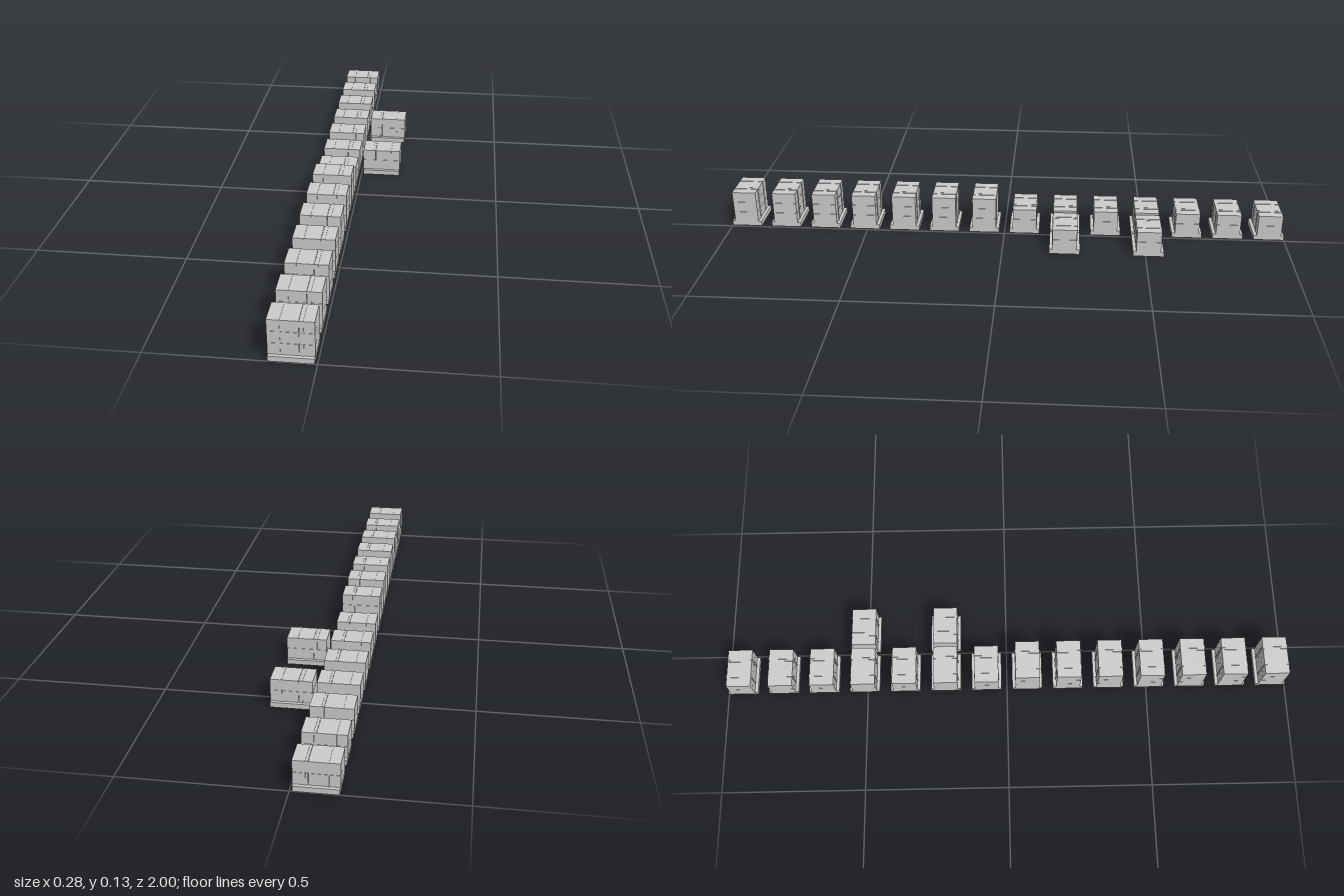
import * as THREE from 'three';

const material = new THREE.MeshStandardMaterial({ color: 0xcccccc });
material.name = 'light grey';

const LAYER = 0.0385, BASE = 0.017, WIDTH = 0.136, DEPTH = 0.085, SEAM = 0.0008;

function addBox(parent, name, size, position) {
  const mesh = new THREE.Mesh(new THREE.BoxGeometry(...size), material);
  mesh.name = name;
  mesh.position.set(...position);
  parent.add(mesh);
}

// One pallet with layered crates, held by two straps
function createPallet(layers) {
  const pallet = new THREE.Group();
  pallet.name = 'loadedPallet';
  addBox(pallet, 'palletBase', [0.133, BASE, 0.107], [0, BASE / 2, 0]);

  // Each layer is a wide crate beside a narrow one, with fine seams
  const split = 0.0227;
  for (let i = 0; i < layers; i++) {
    const y = BASE + (i + 0.5) * LAYER;
    for (const [name, x0, x1] of [['wideCrate', -WIDTH / 2, split], ['narrowCrate', split, WIDTH / 2]]) {
      addBox(pallet, name, [x1 - x0 - SEAM, LAYER - SEAM, DEPTH], [(x0 + x1) / 2, y, 0]);
    }
  }

  // Straps run down the front and back and over the top
  const height = layers * LAYER, top = BASE + height, t = 0.0016;
  for (const x of [-0.033, 0.033]) {
    for (const side of [-1, 1]) {
      addBox(pallet, 'strapSide', [0.005, height, t], [x, BASE + height / 2, side * (DEPTH + t) / 2]);
    }
    addBox(pallet, 'strapTop', [0.005, t, DEPTH + 2 * t], [x, top + t / 2 - SEAM / 2, 0]);
  }
  return pallet;
}

export function createModel() {
  const model = new THREE.Group();
  model.name = 'palletRow';
  const zAt = (i) => 0.9465 - i * 0.14562;

  // Main row: seven tall loads in front, seven short ones behind
  for (let i = 0; i < 14; i++) {
    const pallet = createPallet(i < 7 ? 3 : 2);
    pallet.position.set(-0.0745, 0, zAt(i));
    model.add(pallet);
  }

  // Two short loads beside the row, turned around
  for (const i of [8, 10]) {
    const pallet = createPallet(2);
    pallet.position.set(0.0745, 0, zAt(i));
    pallet.rotation.y = Math.PI;
    model.add(pallet);
  }
  return model;
}
